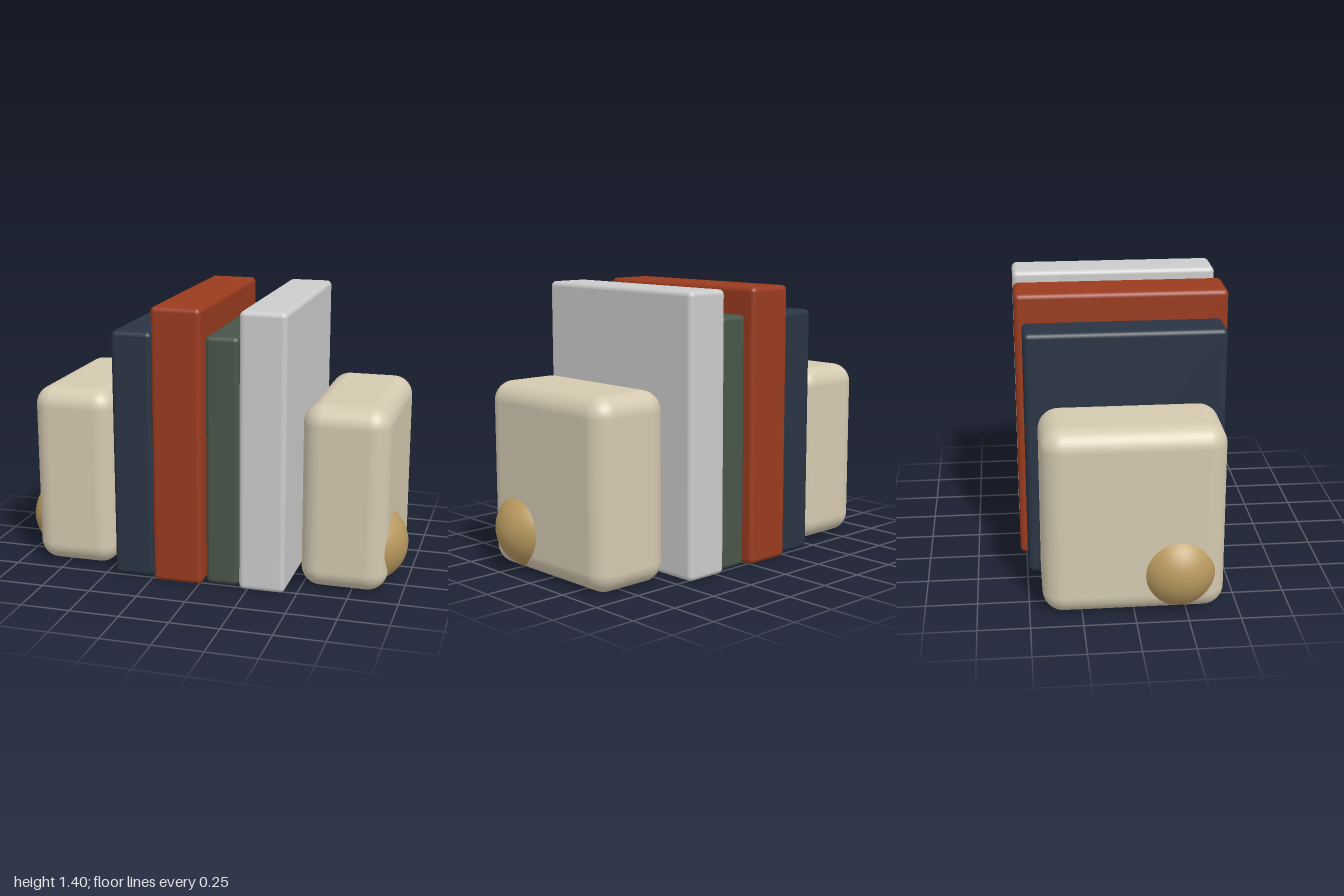
import * as THREE from 'three';
import { RoundedBoxGeometry } from 'three/addons/geometries/RoundedBoxGeometry.js';

const paint = (color) => new THREE.MeshStandardMaterial({ color });

// Rounded block standing on the ground between x0 and x1
function block(name, x0, x1, height, depth, radius, segments, material) {
  const geometry = new RoundedBoxGeometry(x1 - x0, height, depth, segments, radius);
  const mesh = new THREE.Mesh(geometry, material);
  mesh.name = name;
  mesh.position.set((x0 + x1) / 2, height / 2, 0);
  return mesh;
}

export function createModel() {
  const model = new THREE.Group();
  model.name = 'booksWithBookends';

  // Row of upright books
  const books = [
    ['blueBook', -0.455, -0.247, 1.265, 0.99, 0x2a3444],
    ['redBook', -0.237, 0.017, 1.4, 1.062, 0x9a3b1e],
    ['greenBook', 0.028, 0.197, 1.265, 0.99, 0x48554a],
    ['greyBook', 0.207, 0.44, 1.4, 1.062, 0xcccccc],
  ];
  for (const [name, x0, x1, height, depth, color] of books) {
    model.add(block(name, x0, x1, height, depth, 0.026, 4, paint(color)));
  }

  // Mirrored stone bookends, each with a brass ball set in its outer face
  const stone = paint(0xd4c9b0);
  const brass = paint(0xb8995f);
  for (const [side, s] of [['left', 1], ['right', -1]]) {
    const bookend = new THREE.Group();
    bookend.name = `${side}Bookend`;
    const body = block(`${side}BookendBlock`, 0.488, 0.92, 0.935, 0.872, 0.1, 8, stone);
    body.position.x *= s;
    const ball = new THREE.Mesh(new THREE.SphereGeometry(0.204, 40, 28), brass);
    ball.name = `${side}BookendBall`;
    ball.position.set(s * 0.796, 0.206, 0.213);
    bookend.add(body, ball);
    model.add(bookend);
  }
  return model;
}
